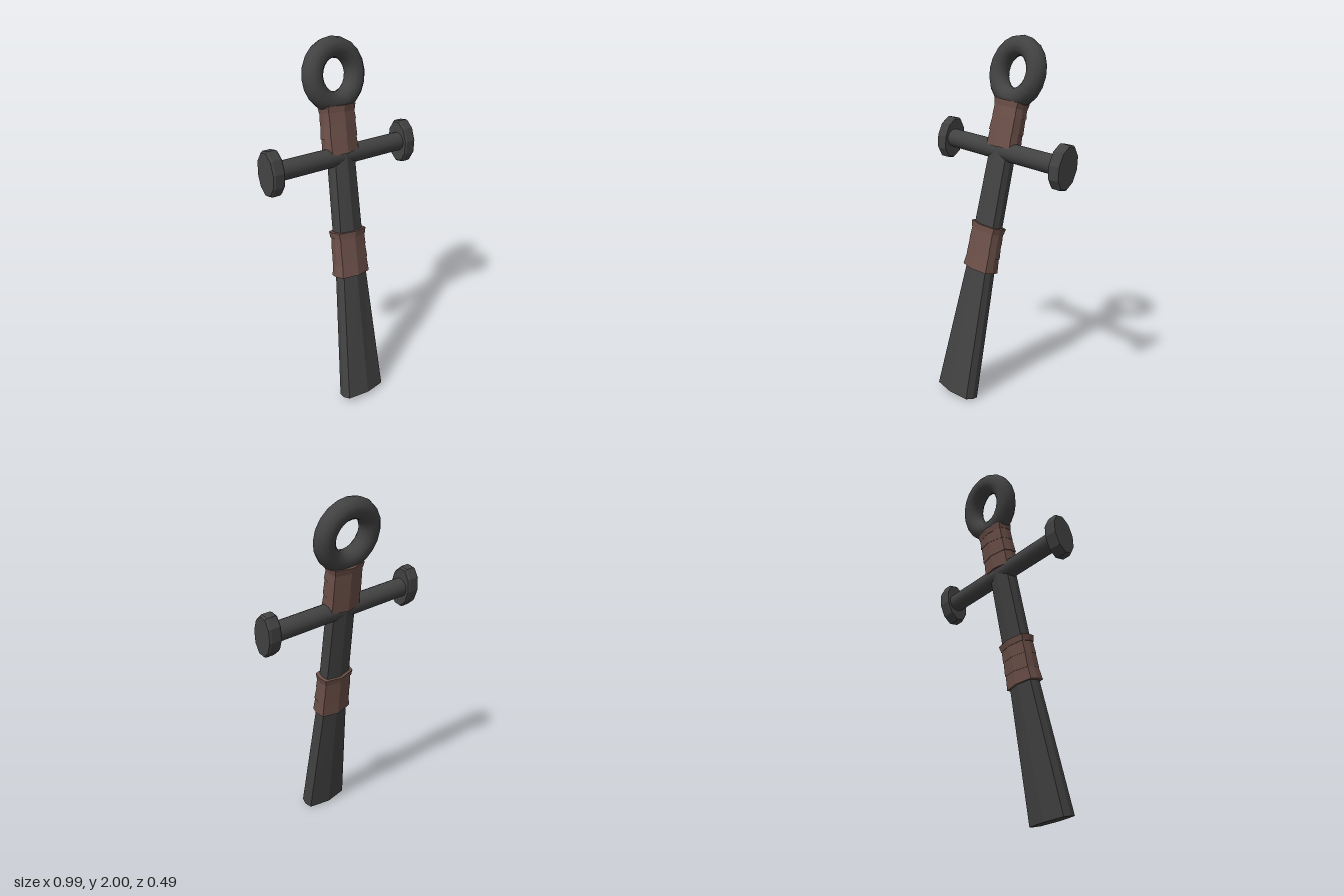
import * as THREE from 'three';

const iron = new THREE.MeshStandardMaterial({ color: 0x424242 });
iron.name = 'dark iron';
const ironFlat = iron.clone();
ironFlat.flatShading = true;
const leather = new THREE.MeshStandardMaterial({ color: 0x6b4f48, flatShading: true });
leather.name = 'brown leather';

// Eight-sided solid lofted through [height, half width, half depth] sections.
function loft(sections) {
  const g = new THREE.CylinderGeometry(1, 1, 1, 8, sections.length - 1);
  const p = g.attributes.position;
  const last = sections.length - 1;
  for (let i = 0; i < p.count; i++) {
    const [h, w, d] = sections[Math.round((p.getY(i) + 0.5) * last)];
    let x = p.getX(i), z = p.getZ(i);
    // Push the diagonal corners outward for a broad, flattened section
    if (Math.abs(x) > 0.5 && Math.abs(z) > 0.5) { x *= 1.29; z *= 0.92; }
    p.setXYZ(i, x * w, h, z * d);
  }
  g.computeVertexNormals();
  return g;
}

function add(parent, name, geometry, material) {
  const mesh = new THREE.Mesh(geometry, material);
  mesh.name = name;
  parent.add(mesh);
  return mesh;
}

// Stacked, slightly crooked bands: [bottom, top, half width below, half width above, tilt]
function addWrap(parent, name, bands) {
  const wrap = new THREE.Group();
  wrap.name = name;
  bands.forEach(([y0, y1, w0, w1, tilt], i) => {
    const mid = (y0 + y1) / 2, h = (y1 - y0) / 2;
    const band = add(wrap, 'band' + (i + 1), loft([[-h, w0, w0 * 0.67], [h, w1, w1 * 0.67]]), leather);
    band.position.y = mid;
    band.rotation.z = tilt;
  });
  parent.add(wrap);
}

export function createModel() {
  const root = new THREE.Group();
  root.name = 'ironPeg';
  const body = new THREE.Group();
  body.name = 'leaningBody';
  root.add(body);

  // Flared shaft
  add(body, 'shaft', loft([
    [0, 0.136, 0.063], [0.74, 0.087, 0.054], [1.37, 0.075, 0.054], [1.66, 0.074, 0.054],
  ]), ironFlat);

  // Ring handle
  const ring = add(body, 'ring', new THREE.TorusGeometry(0.141, 0.056, 12, 20), iron);
  ring.position.y = 1.83;

  // Crossbar with flattened end discs
  const bar = add(body, 'crossbar', new THREE.CylinderGeometry(0.052, 0.052, 0.9, 16).rotateZ(Math.PI / 2), iron);
  bar.position.y = 1.4;
  const profile = [[0, -0.036], [0.93, -0.036], [1, -0.024], [1, 0.024], [0.93, 0.036], [0, 0.036]]
    .map(([r, y]) => new THREE.Vector2(r, y));
  for (const side of [-1, 1]) {
    const disc = add(body, side > 0 ? 'leftEndDisc' : 'rightEndDisc',
      new THREE.LatheGeometry(profile, 10).rotateZ(-Math.PI / 2).scale(1, 0.123, 0.073), ironFlat);
    disc.position.set(side * 0.453, 1.4, 0);
  }

  // Leather wraps
  addWrap(body, 'lowerWrap', [
    [0.73, 0.82, 0.104, 0.094, -0.03],
    [0.805, 0.905, 0.099, 0.093, 0.04],
    [0.885, 0.965, 0.097, 0.092, 0.0],
    [0.95, 0.985, 0.097, 0.103, -0.04],
  ]);
  addWrap(body, 'upperWrap', [
    [1.42, 1.515, 0.1, 0.094, 0.03],
    [1.5, 1.6, 0.1, 0.094, -0.02],
    [1.585, 1.655, 0.098, 0.093, 0.05],
    [1.64, 1.675, 0.096, 0.103, -0.03],
  ]);

  // Lean the whole body back and a little to one side
  const yAxis = new THREE.Vector3(0.062, 1, -0.1955).normalize();
  const zAxis = new THREE.Vector3(1, -0.06, 0.015).cross(yAxis).normalize();
  const xAxis = yAxis.clone().cross(zAxis);
  body.quaternion.setFromRotationMatrix(new THREE.Matrix4().makeBasis(xAxis, yAxis, zAxis));
  body.position.set(-0.086, 0.018, 0.185);
  return root;
}
